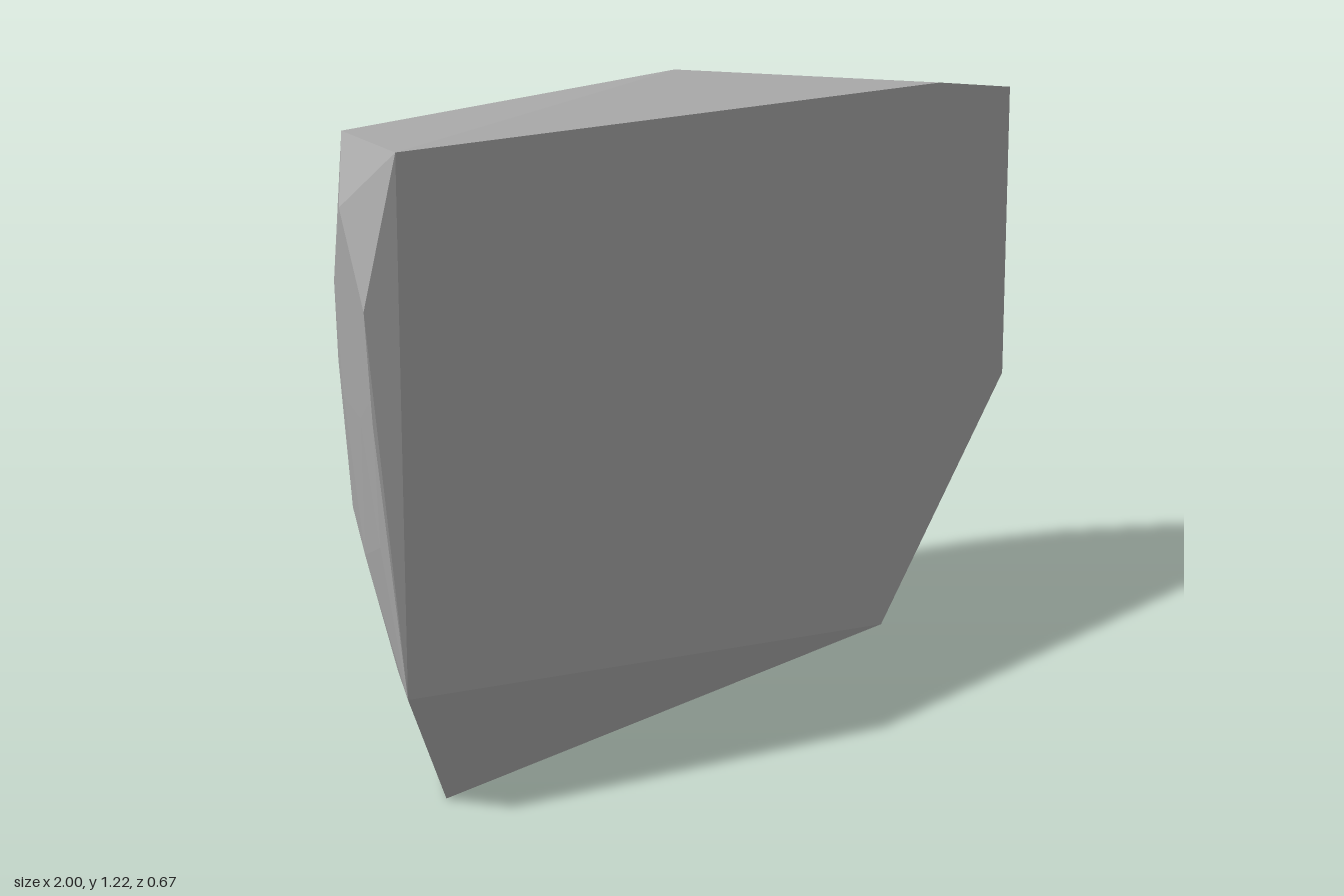
import * as THREE from 'three';
import { ConvexGeometry } from 'three/addons/geometries/ConvexGeometry.js';

const V = (a) => new THREE.Vector3(...a);
const rim = (pts) => new THREE.CatmullRomCurve3(pts.map(([x, z]) => V([x, 0, z])), false, 'centripetal');

export function createModel() {
  const stone = new THREE.MeshStandardMaterial({ color: 0xaaaaaa });
  stone.name = 'grey stone';

  // Corners of the flat broken face, the right end and the top
  const corners = [
    [-0.95, 1.22, 0.21], [0.62, 1.195, 0.33], [0.97, 1.15, 0.305], [0.98, 0.98, 0.27],
    [1, 0.75, 0.29], [0.93, 0.5, 0.333], [0.43, 0.03, 0.333], [0.55, 0, 0.22],
    [-0.81, 0, 0.17], [-0.95, 0.245, 0.21], [-1, 0.95, 0.175], [-0.99, 0.75, 0.18],
    [0.33, 1.215, -0.16], [0.49, 1.148, -0.12], [0.24, 1.13, -0.265], [0.15, 1.145, -0.295],
    [-0.03, 1.137, -0.323], [-0.43, 1.17, -0.275], [-0.65, 1.15, -0.17],
    [-0.78, 1.213, -0.08], [-0.94, 1.11, 0.065],
  ].map(V);

  // The rounded back swells from a narrow foot outline to a wide middle outline
  const foot = rim([[0.41, 0], [0.2, -0.12], [-0.06, -0.205], [-0.27, -0.2], [-0.47, -0.12], [-0.63, 0], [-0.79, 0.15]]);
  const middle = rim([[0.5, -0.125], [0.42, -0.19], [0.24, -0.28], [0, -0.33], [-0.15, -0.338], [-0.28, -0.33],
    [-0.5, -0.27], [-0.7, -0.17], [-0.84, -0.05], [-0.92, 0.06], [-0.99, 0.17]]);
  const rows = [[0, 0], [0.27, 0.59], [0.5, 0.88], [0.76, 0.985], [0.98, 1]];
  const steps = 10;
  rows.forEach(([y, swell], r) => {
    const shift = (r % 2) * 0.5; // staggered rows give irregular facets
    for (let i = 0; i <= steps; i++) {
      const t = Math.min(1, (i + (i > 0 ? shift : 0)) / steps);
      const p = foot.getPoint(t).lerp(middle.getPoint(t), swell);
      p.y = y + (y > 0 ? 0.03 * Math.sin(i * 2.4 + r) : 0);
      corners.push(p);
    }
  });

  const rock = new THREE.Mesh(new ConvexGeometry(corners), stone);
  rock.name = 'rock';
  const group = new THREE.Group();
  group.name = 'splitRock';
  group.add(rock);
  return group;
}
